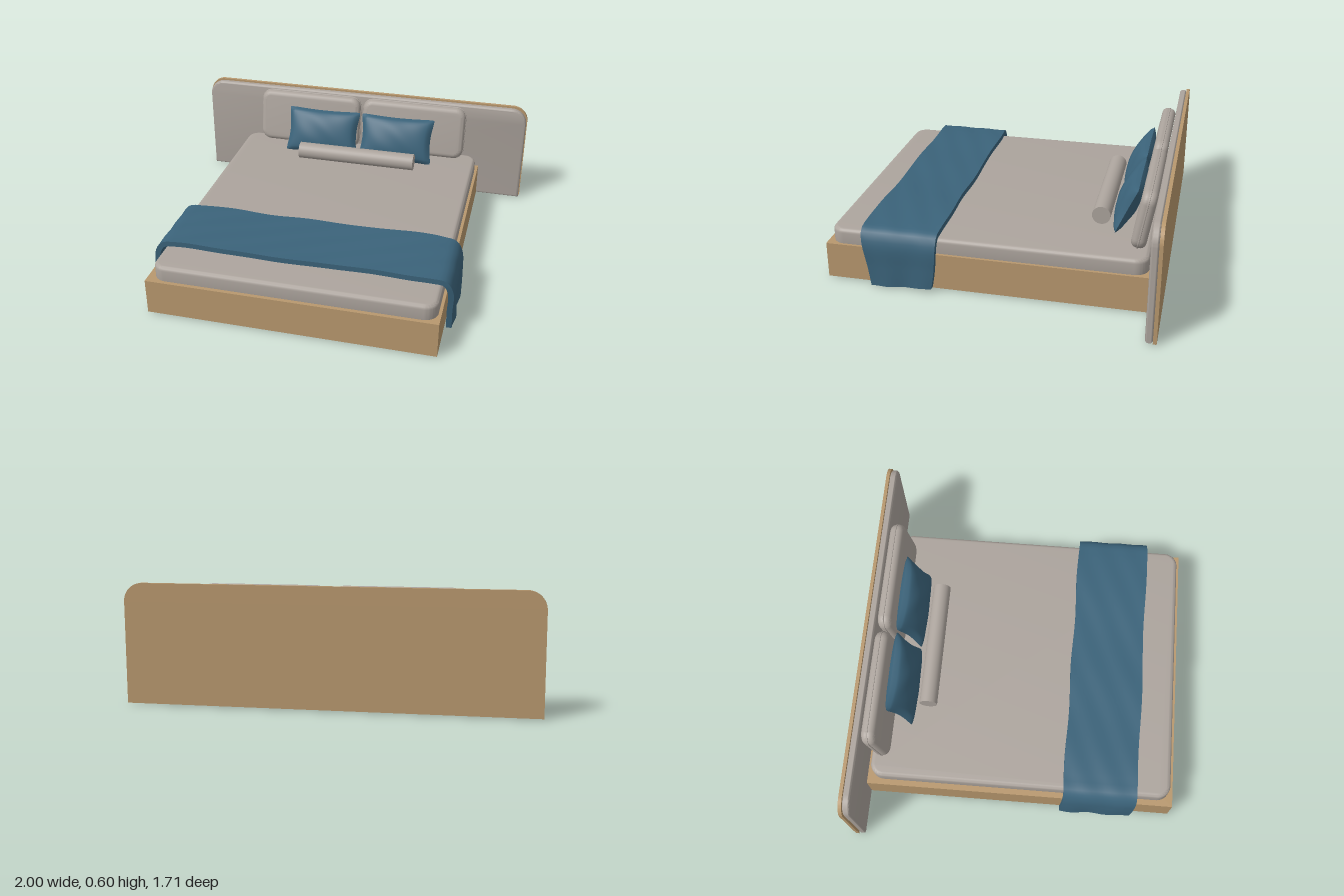
import * as THREE from 'three';
import { toCreasedNormals, mergeGeometries } from 'three/addons/utils/BufferGeometryUtils.js';

const material = (name, color) => Object.assign(new THREE.MeshStandardMaterial({ color }), { name });

// Rounded rectangle centred on the origin; rb is the radius of the two lower corners.
function roundedRect(w, h, r, rb = r) {
  const x = w / 2, y = h / 2, s = new THREE.Shape();
  s.moveTo(-x + rb, -y);
  s.lineTo(x - rb, -y);
  if (rb > 0) s.absarc(x - rb, -y + rb, rb, -Math.PI / 2, 0);
  s.lineTo(x, y - r);
  s.absarc(x - r, y - r, r, 0, Math.PI / 2);
  s.lineTo(-x + r, y);
  s.absarc(-x + r, y - r, r, Math.PI / 2, Math.PI);
  s.lineTo(-x, -y + rb);
  if (rb > 0) s.absarc(-x + rb, -y + rb, rb, Math.PI, Math.PI * 1.5);
  return s;
}

// Padded slab of full size w x h x d with softened edges, centred on the origin.
function padGeometry(w, h, d, r, bevel, rb = r) {
  const inset = (v) => Math.max(v - bevel, 0);
  const shape = roundedRect(w - 2 * bevel, h - 2 * bevel, inset(r), inset(rb));
  const geo = new THREE.ExtrudeGeometry(shape, {
    depth: d - 2 * bevel, bevelEnabled: bevel > 0, bevelSize: bevel,
    bevelThickness: bevel, bevelSegments: 5, curveSegments: 8,
  });
  geo.translate(0, 0, bevel - d / 2);
  return toCreasedNormals(geo, 0.7);
}

// Stuffed cushion: two bulging sheets with drawn-in sides and pointed corners.
function cushionGeometry(w, h, d) {
  const sheet = new THREE.PlaneGeometry(2, 2, 24, 20);
  const p = sheet.attributes.position;
  for (let i = 0; i < p.count; i++) {
    const u = p.getX(i), v = p.getY(i);
    const fill = Math.max((1 - u * u) * (1 - v * v), 0);
    const corner = 1 - 0.04 * Math.pow(u * v, 8);
    const wrinkle = 0.003 * Math.sin(7 * u + 4 * v) * fill;
    p.setXYZ(i,
      w / 2 * u * (1 - 0.09 * (1 - v * v)) * corner,
      h / 2 * v * (1 - 0.08 * (1 - u * u)) * corner,
      d / 2 * Math.pow(fill, 0.45) + wrinkle);
  }
  sheet.computeVertexNormals();
  return mergeGeometries([sheet, sheet.clone().rotateY(Math.PI)]);
}

// Throw blanket: a thin slab bent along a path over the bed, with soft creases.
function throwGeometry() {
  const path = new THREE.CatmullRomCurve3([
    [-0.785, 0.08], [-0.778, 0.18], [-0.762, 0.255], [-0.73, 0.296], [-0.66, 0.304],
    [0, 0.302], [0.67, 0.304], [0.73, 0.292], [0.757, 0.24], [0.761, 0.12], [0.764, 0.015],
  ].map(([x, y]) => new THREE.Vector3(x, y, 0)), false, 'centripetal');
  path.arcLengthDivisions = 600;
  const geo = new THREE.BoxGeometry(1, 0.028, 1, 100, 1, 16);
  const p = geo.attributes.position;
  for (let i = 0; i < p.count; i++) {
    const s = p.getX(i) + 0.5, v = p.getZ(i) + 0.5;
    const c = path.getPointAt(s), t = path.getTangentAt(s);
    const rightDrop = Math.max(0, (0.28 - c.y) / 0.28) * (c.x > 0 ? 1 : 0);
    const leftDrop = Math.max(0, (0.28 - c.y) / 0.28) * (c.x < 0 ? 1 : 0);
    const back = 0.262 + 0.035 * rightDrop * rightDrop - 0.015 * leftDrop + 0.004 * Math.sin(s * 23);
    const front = 0.655 - 0.045 * rightDrop - 0.03 * leftDrop + 0.004 * Math.sin(s * 17 + 1);
    const crease = 0.0025 * Math.sin(s * 31 + v * 9) * Math.sin(v * 7 + s * 5)
      + 0.005 * (rightDrop + leftDrop) * Math.sin(v * 11);
    const n = p.getY(i) + crease;
    p.setXYZ(i,
      c.x - t.y * n,
      c.y + t.x * n + 0.02 * rightDrop * (0.5 - v),
      back + (front - back) * v);
  }
  return toCreasedNormals(geo, 0.8);
}

export function createModel() {
  const model = new THREE.Group();
  model.name = 'bed';
  const wood = material('oak wood', 0xb8986e);
  const linen = material('grey linen', 0xaca49d);
  const blue = material('blue fabric', 0x3b637a);

  const add = (name, geo, mat, x, y, z, rx = 0) => {
    const mesh = new THREE.Mesh(geo, mat);
    mesh.name = name;
    mesh.position.set(x, y, z);
    mesh.rotation.x = rx;
    model.add(mesh);
    return mesh;
  };

  // Headboard: wooden back panel with an upholstered front
  add('headboardBack', padGeometry(2, 0.59, 0.018, 0.09, 0, 0), wood, 0, 0.305, -0.847);
  add('headboardPad', padGeometry(1.99, 0.584, 0.038, 0.09, 0.014, 0.014), linen, 0, 0.302, -0.819);

  // Base and mattress
  add('bedBase', new THREE.BoxGeometry(1.49, 0.19, 1.655), wood, -0.01, 0.105, 0.0275);
  add('mattress', padGeometry(1.445, 1.615, 0.1, 0.07, 0.022), linen, -0.0025, 0.23, 0.0275, -Math.PI / 2);

  // Back pillows with a thin welt around the middle
  [[-0.314, 'right'], [0.329, 'left']].forEach(([x, side]) => {
    add(side + 'Pillow', padGeometry(0.624, 0.312, 0.076, 0.06, 0.03), linen, x, 0.437, -0.737, -0.17);
    add(side + 'PillowWelt', padGeometry(0.632, 0.32, 0.008, 0.064, 0.003), linen, x, 0.437, -0.737, -0.17);
  });

  // Blue cushions leaning on the pillows
  [[-0.212, 'right'], [0.242, 'left']].forEach(([x, side]) => {
    add(side + 'Cushion', cushionGeometry(0.455, 0.275, 0.115), blue, x, 0.402, -0.637, -0.42);
  });

  // Bolster
  const bolster = add('bolster', new THREE.CylinderGeometry(0.048, 0.048, 0.695, 32), linen, 0.0275, 0.328, -0.502);
  bolster.rotation.z = Math.PI / 2;

  // Blanket across the foot of the bed
  add('throwBlanket', throwGeometry(), blue, 0, 0, 0);

  return model;
}
